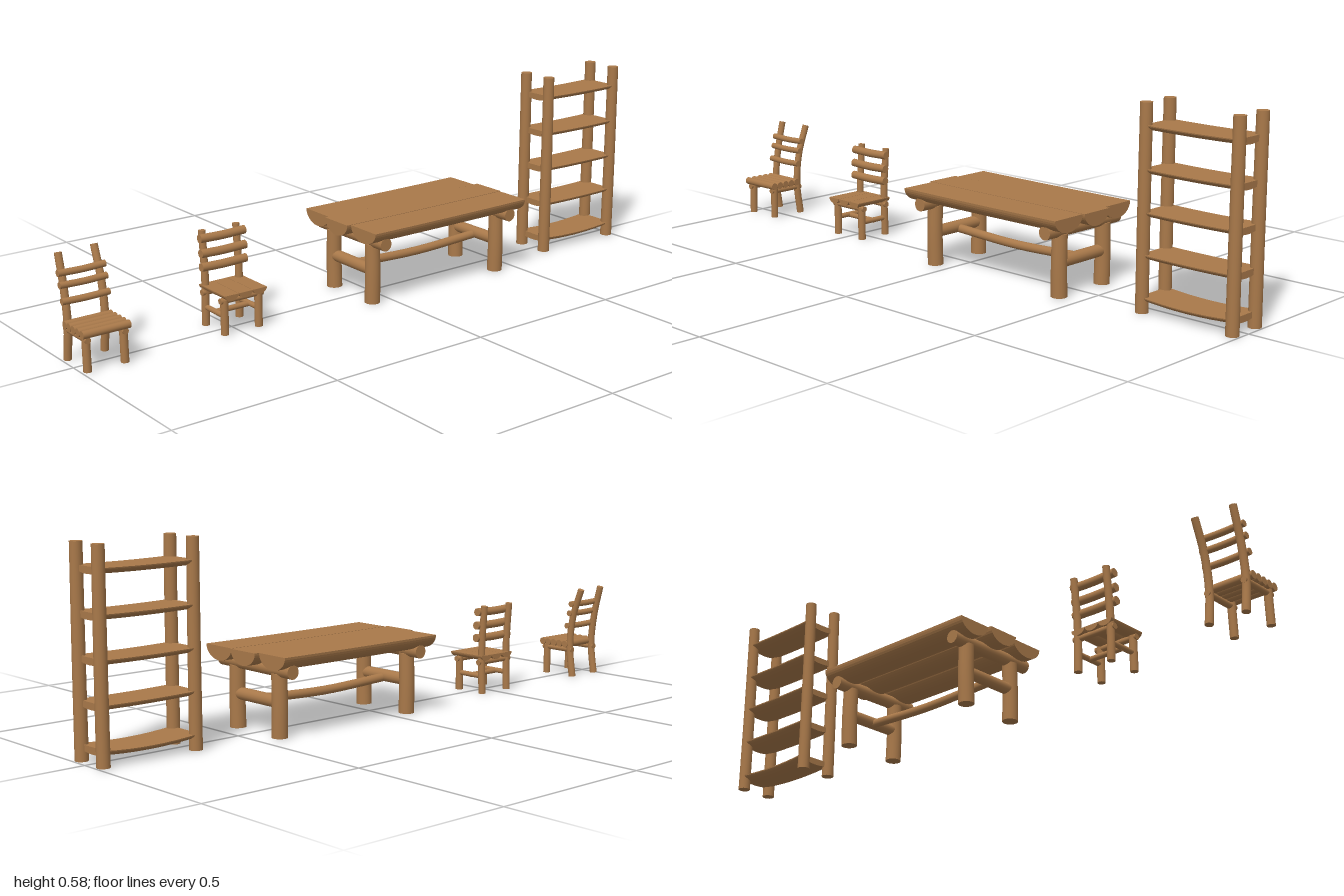
import * as THREE from 'three';

const wood = new THREE.MeshStandardMaterial({ color: 0xa9794a });
const UP = new THREE.Vector3(0, 1, 0);

// Round log: a capped cylinder bent along a curve through the given points
function log(parent, name, pts, r, rEnd = r) {
  const curve = new THREE.CatmullRomCurve3(pts.map(p => new THREE.Vector3(...p)));
  const geo = new THREE.CylinderGeometry(rEnd, r, 1, 18, pts.length > 2 ? 12 : 1);
  const pos = geo.attributes.position, nor = geo.attributes.normal;
  const q = new THREE.Quaternion(), v = new THREE.Vector3();
  for (let i = 0; i < pos.count; i++) {
    const t = THREE.MathUtils.clamp(pos.getY(i) + 0.5, 0, 1);
    q.setFromUnitVectors(UP, curve.getTangent(t));
    v.set(pos.getX(i), 0, pos.getZ(i)).applyQuaternion(q).add(curve.getPoint(t));
    pos.setXYZ(i, v.x, v.y, v.z);
    v.fromBufferAttribute(nor, i).applyQuaternion(q);
    nor.setXYZ(i, v.x, v.y, v.z);
  }
  const mesh = new THREE.Mesh(geo, wood);
  mesh.name = name;
  parent.add(mesh);
  return mesh;
}

// Split log: flat top at y = 0, round belly below, length along x
function plank(parent, name, length, width, depth, x, top, z, sag = 0) {
  const s = new THREE.Shape();
  s.absellipse(0, 0, width / 2, depth, Math.PI, 2 * Math.PI, false);
  s.closePath();
  const geo = new THREE.ExtrudeGeometry(s, { depth: length, steps: 8, bevelEnabled: false, curveSegments: 10 });
  geo.translate(0, 0, -length / 2).rotateY(Math.PI / 2);
  const pos = geo.attributes.position;
  for (let i = 0; i < pos.count; i++) {
    const u = 2 * pos.getX(i) / length;
    pos.setY(i, pos.getY(i) - sag * (1 - u * u));
  }
  const mesh = new THREE.Mesh(geo, wood);
  mesh.name = name;
  mesh.position.set(x, top, z);
  parent.add(mesh);
  return mesh;
}

function group(root, name) {
  const g = new THREE.Group();
  g.name = name;
  root.add(g);
  return g;
}

function buildShelf(root) {
  const g = group(root, 'shelfUnit');
  for (const x of [0.687, 0.98])
    for (const z of [0.045, -0.057])
      log(g, 'shelfPost', [[x, 0, z], [x, 0.29, z + 0.001], [x, 0.576, z]], 0.0185, 0.0172);
  [0.046, 0.163, 0.28, 0.397, 0.515].forEach((y, i) =>
    plank(g, 'shelfBoard', 0.298, 0.126, 0.02, 0.8335, y, -0.007, i === 0 ? 0.008 : 0.002));
}

function buildTable(root) {
  const g = group(root, 'table');
  // Top boards: [x from, x to, z centre, width]
  for (const [x0, x1, z, w] of [[-0.11, 0.47, -0.116, 0.112], [-0.122, 0.485, -0.006, 0.108], [-0.11, 0.48, 0.109, 0.116]])
    plank(g, 'tableBoard', x1 - x0, w, 0.042, (x0 + x1) / 2, 0.238, z, 0.001);
  for (const x of [-0.06, 0.43]) {
    log(g, 'tableBeam', [[x, 0.193, 0.153], [x, 0.191, -0.158]], 0.02);
    for (const z of [0.088, -0.098])
      log(g, 'tableLeg', [[x, 0, z], [x, 0.09, z + Math.sign(z) * 0.002], [x, 0.182, z]], 0.0235, 0.0225);
    log(g, 'tableEndRail', [[x, 0.1, 0.088], [x, 0.1, -0.098]], 0.018);
  }
  log(g, 'tableStretcher', [[-0.06, 0.096, -0.005], [0.185, 0.087, -0.005], [0.43, 0.096, -0.005]], 0.013);
}

// Chair with a leaning back and a seat of crosswise logs
function buildLeaningChair(root) {
  const g = group(root, 'leaningChair');
  const xs = [-0.984, -0.872];
  xs.forEach((x, i) => {
    const lean = i * -0.01;
    log(g, 'backPost', [[x, 0, -0.062], [x, 0.1, -0.05], [x, 0.2, -0.061], [x, 0.296, -0.084 + lean]], 0.0115, 0.0105);
    log(g, 'frontLeg', [[x, 0, 0.05], [x, 0.1, 0.048]], 0.0115);
    log(g, 'seatRail', [[x, 0.09, 0.062], [x, 0.09, -0.062]], 0.009);
  });
  for (let i = 0; i < 5; i++)
    log(g, 'seatLog', [[-1, 0.108, 0.058 - i * 0.024], [-0.858, 0.108, 0.058 - i * 0.024]], 0.0115);
  for (const [y, z] of [[0.171, -0.046], [0.214, -0.055], [0.246, -0.062]])
    log(g, 'backSlat', [[-1, y, z], [-0.928, y - 0.002, z], [-0.858, y, z]], 0.0095);
}

// Upright chair with a seat of lengthwise boards
function buildUprightChair(root) {
  const g = group(root, 'uprightChair');
  for (const x of [-0.551, -0.437]) {
    log(g, 'backPost', [[x, 0, -0.055], [x, 0.14, -0.052], [x, 0.28, -0.062]], 0.0115, 0.0105);
    log(g, 'frontLeg', [[x, 0, 0.045], [x, 0.105, 0.045]], 0.0115);
    log(g, 'sideStretcher', [[x, 0.055, 0.045], [x, 0.055, -0.055]], 0.008);
  }
  log(g, 'middleStretcher', [[-0.551, 0.053, -0.005], [-0.437, 0.053, -0.005]], 0.008);
  for (const z of [0.045, -0.05])
    log(g, 'seatRail', [[-0.565, 0.1, z], [-0.423, 0.1, z]], 0.009);
  for (const x of [-0.541, -0.494, -0.447])
    plank(g, 'seatBoard', 0.135, 0.046, 0.017, x, 0.122, 0.003).rotation.y = Math.PI / 2;
  for (const [y, z] of [[0.178, -0.042], [0.218, -0.043], [0.261, -0.047]])
    log(g, 'backSlat', [[-0.569, y, z], [-0.494, y - 0.002, z], [-0.419, y, z]], 0.0125);
}

export function createModel() {
  const root = new THREE.Group();
  root.name = 'logFurnitureSet';
  buildLeaningChair(root);
  buildUprightChair(root);
  buildTable(root);
  buildShelf(root);
  return root;
}
